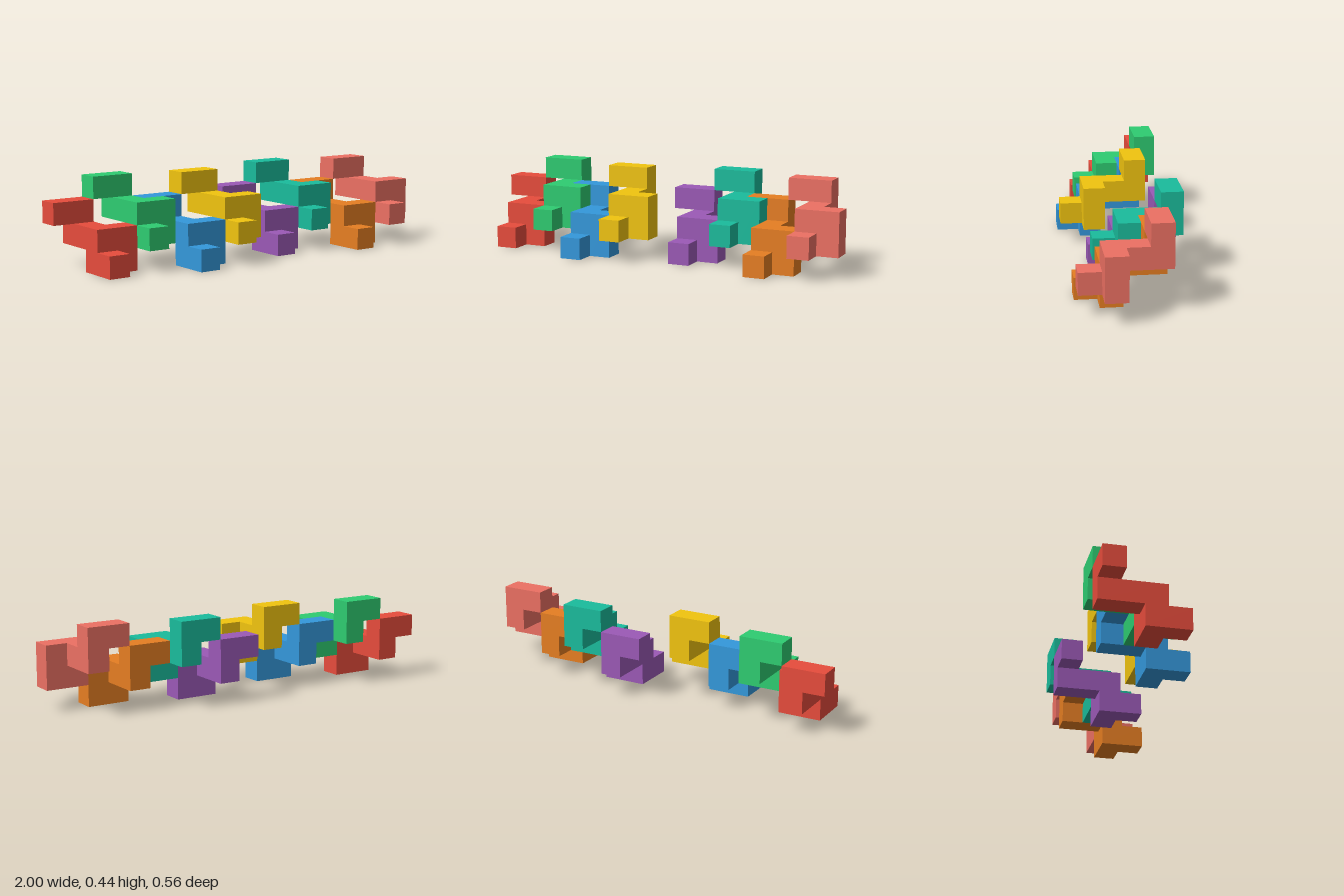
import * as THREE from 'three';

const U = 1 / 9; // edge of one cube cell

// Boxes of one puzzle piece in cell units: [name, min corner, max corner]
const PARTS = [
  ['topBar', [0, 2, 0], [2, 3, 1]],
  ['spine', [1, 1, 0], [2, 2, 3]],
  ['sideBlock', [2, 0, 2], [3, 2, 3]],
  ['foot', [1, 0, 2], [2, 1, 4]],
];

// Identical pieces, interlocked by shifting: [name, color, cell offset]
const PIECES = [
  ['redPiece', 0xe74c3c, [0, 0, 0]],
  ['greenPiece', 0x2ecc71, [2, 1, 0]],
  ['bluePiece', 0x3498db, [4, 0, 1]],
  ['yellowPiece', 0xf1c40f, [6, 1, 1]],
  ['purplePiece', 0x9b59b6, [9, 0, 0]],
  ['tealPiece', 0x1abc9c, [11, 1, 0]],
  ['orangePiece', 0xe67e22, [13, 0, 1]],
  ['salmonPiece', 0xec7063, [15, 1, 1]],
];

function createPiece(name, color) {
  const piece = new THREE.Group();
  piece.name = name;
  const material = new THREE.MeshStandardMaterial({ color });
  for (const [part, min, max] of PARTS) {
    const lo = new THREE.Vector3(...min);
    const hi = new THREE.Vector3(...max);
    const size = hi.clone().sub(lo).multiplyScalar(U);
    const mesh = new THREE.Mesh(new THREE.BoxGeometry(size.x, size.y, size.z), material);
    mesh.position.copy(lo).add(hi).multiplyScalar(U / 2);
    mesh.name = part;
    piece.add(mesh);
  }
  return piece;
}

export function createModel() {
  const model = new THREE.Group();
  model.name = 'interlockingBlocks';
  // The whole row spans 18 x 4 x 5 cells
  for (const [name, color, [x, y, z]] of PIECES) {
    const piece = createPiece(name, color);
    piece.position.set((x - 9) * U, y * U, (z - 2.5) * U);
    model.add(piece);
  }
  return model;
}
